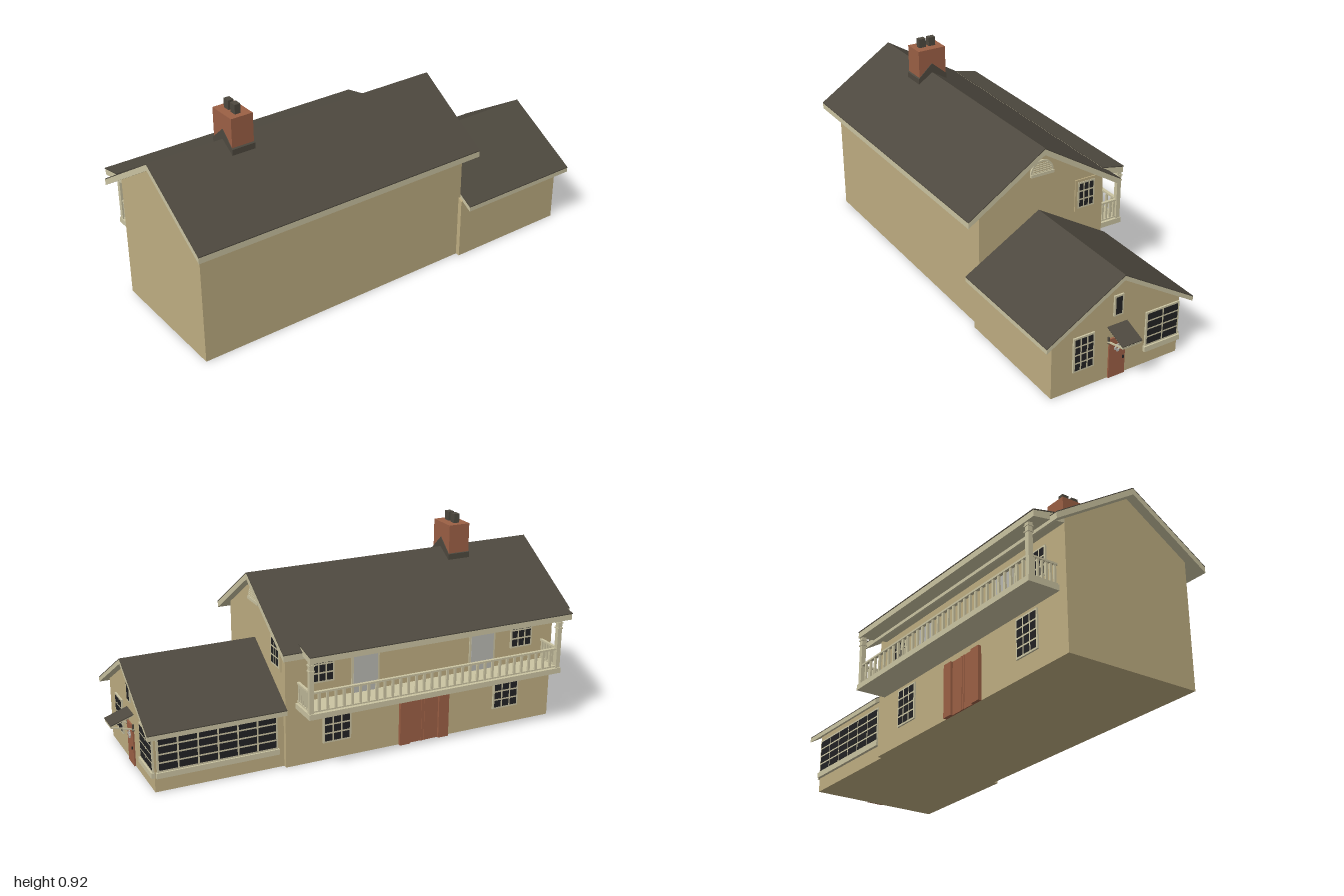
import * as THREE from 'three';

const mat = (name, color) => new THREE.MeshStandardMaterial({ name, color });

export function createModel() {
  const M = {
    wall: mat('wallTan', 0xbfae82),
    roof: mat('roofSlate', 0x4e493f),
    trim: mat('trimCream', 0xcbc4a2),
    brick: mat('brickRed', 0x9c6045),
    glass: mat('darkGlass', 0x222224),
    grey: mat('doorGrey', 0xb9b8b2),
  };
  const house = new THREE.Group();
  house.name = 'house';

  const add = (parent, name, geo, m) => {
    const mesh = new THREE.Mesh(geo, m);
    mesh.name = name;
    parent.add(mesh);
    return mesh;
  };
  const box = (parent, name, m, w, h, d, x, y, z) => {
    const b = add(parent, name, new THREE.BoxGeometry(w, h, d), m);
    b.position.set(x, y, z);
    return b;
  };
  // box given by its limits
  const span = (parent, name, m, x0, x1, y0, y1, z0, z1) =>
    box(parent, name, m, x1 - x0, y1 - y0, z1 - z0, (x0 + x1) / 2, (y0 + y1) / 2, (z0 + z1) / 2);
  // profile of [z, y] points drawn out along x
  const prism = (parent, name, m, pts, x0, x1) => {
    const s = new THREE.Shape(pts.map(p => new THREE.Vector2(p[0], p[1])));
    const g = new THREE.ExtrudeGeometry(s, { depth: x1 - x0, bevelEnabled: false });
    g.rotateY(-Math.PI / 2);
    g.translate(x1, 0, 0);
    return add(parent, name, g, m);
  };
  // group mounted on a wall, local +z pointing outwards
  const mount = (name, side, x, y, z) => {
    const g = new THREE.Group();
    g.name = name;
    g.position.set(x, y, z);
    g.rotation.y = side === 'back' ? Math.PI : Math.PI / 2;
    house.add(g);
    return g;
  };

  // gabled roof: cream slab with a thin dark covering
  const gableRoof = (name, front, ridge, back, t, x0, x1) => {
    const line = d => [front, ridge, back].map(p => [p[0], p[1] + d]);
    const band = (a, b) => [...line(a), ...line(b).reverse()];
    prism(house, name + 'Eaves', M.trim, band(-t, -0.004), x0, x1);
    prism(house, name + 'Covering', M.roof, band(-0.004, 0), x0, x1);
  };

  // main block and side wing
  prism(house, 'mainWalls', M.wall,
    [[0.34, 0], [0.34, 0.553], [0.05, 0.742], [-0.265, 0.546], [-0.265, 0]], -0.96, 0.34);
  gableRoof('mainRoof', [0.408, 0.535], [0.05, 0.767], [-0.333, 0.53], 0.03, -1, 0.375);
  prism(house, 'wingWalls', M.wall,
    [[0.36, 0], [0.36, 0.275], [0.055, 0.455], [-0.245, 0.275], [-0.245, 0]], 0.33, 0.9);
  gableRoof('wingRoof', [0.405, 0.268], [0.055, 0.475], [-0.285, 0.268], 0.024, 0.34, 0.935);

  // chimney with saddle flashing and two pots
  span(house, 'chimney', M.brick, -0.66, -0.56, 0.68, 0.877, -0.02, 0.115);
  prism(house, 'chimneyFlashing', M.roof,
    [[0.12, 0.7], [0.12, 0.747], [0.05, 0.81], [-0.023, 0.747], [-0.023, 0.7]], -0.663, -0.557);
  for (const z of [0.073, 0.025]) box(house, 'chimneyPot', M.roof, 0.026, 0.045, 0.033, -0.612, 0.895, z);

  // grid window
  const paneWindow = (name, side, x, y, z, w, h, cols, rows, o = {}) => {
    const g = mount(name, side, x, y, z);
    if (o.casing) box(g, 'casing', o.casing, w + 0.024, h + 0.024, 0.006, 0, 0, 0.002);
    box(g, 'muntins', M.trim, w, h, 0.008, 0, 0, 0.003);
    const gap = 0.008, cw = (w - gap) / cols, ch = (h - gap) / rows;
    for (let i = 0; i < cols; i++) for (let j = 0; j < rows; j++)
      box(g, 'pane', M.glass, cw - gap, ch - gap, 0.004,
        (i + 0.5) * cw - (w - gap) / 2, (j + 0.5) * ch - (h - gap) / 2, 0.0065);
    if (o.sill) box(g, 'sill', M.trim, w + 0.01, 0.024, 0.016, 0, -h / 2 - 0.012, 0.006);
    return g;
  };

  // end wall windows
  paneWindow('wingEndWindow', 'end', 0.9, 0.165, 0.215, 0.098, 0.156, 3, 4);
  paneWindow('wingCornerWindow', 'end', 0.9, 0.165, -0.161, 0.163, 0.156, 2, 4, { sill: true });
  paneWindow('wingGableWindow', 'end', 0.9, 0.326, 0.057, 0.044, 0.092, 1, 1);
  paneWindow('mainEndWindow', 'end', 0.34, 0.488, -0.177, 0.084, 0.122, 3, 3, { casing: M.wall });

  // arched louvre vent
  const vent = mount('gableVent', 'end', 0.34, 0.648, 0.045);
  const half = r => new THREE.CircleGeometry(r, 24, 0, Math.PI);
  add(vent, 'ventFrame', new THREE.ExtrudeGeometry(
    new THREE.Shape().absarc(0, 0, 0.055, 0, Math.PI), { depth: 0.008, bevelEnabled: false }), M.trim);
  add(vent, 'ventPanel', half(0.047), M.wall).position.z = 0.0085;
  for (let i = 0; i < 5; i++) {
    const y = 0.004 + i * 0.009;
    box(vent, 'louvre', M.trim, 2 * Math.sqrt(0.048 ** 2 - y * y), 0.0045, 0.005, 0, y, 0.009);
  }
  box(vent, 'ventSill', M.trim, 0.11, 0.013, 0.014, 0, -0.006, 0.006);

  // end door with wreath, knob and canopy
  const door = mount('endDoor', 'end', 0.9, 0, 0.057);
  box(door, 'doorLeaf', M.brick, 0.077, 0.182, 0.008, 0, 0.091, 0.003);
  const wreath = add(door, 'wreath', new THREE.TorusGeometry(0.01, 0.004, 6, 10), M.grey);
  wreath.position.set(0, 0.133, 0.009);
  for (let i = 0; i < 4; i++) {
    const a = i * Math.PI / 2;
    box(door, 'wreathSprig', M.grey, 0.009, 0.009, 0.005, Math.cos(a) * 0.012, 0.133 + Math.sin(a) * 0.012, 0.01);
  }
  box(door, 'doorKnob', M.glass, 0.006, 0.012, 0.006, 0.028, 0.08, 0.009);
  const beam = (name, m, w, t, a, b, x) => {
    const dy = b[1] - a[1], dz = b[0] - a[0];
    const s = box(door, name, m, w, t, Math.hypot(dy, dz), x, (a[1] + b[1]) / 2, (a[0] + b[0]) / 2);
    s.rotation.x = -Math.atan2(dy, dz);
  };
  beam('canopyRoof', M.roof, 0.094, 0.004, [0, 0.238], [0.1, 0.203], 0);
  beam('canopyUnderside', M.trim, 0.088, 0.005, [0, 0.233], [0.099, 0.198], 0);
  box(door, 'canopyFascia', M.trim, 0.09, 0.01, 0.004, 0, 0.196, 0.096);
  for (const x of [-0.04, 0.04]) {
    beam('canopyBracket', M.trim, 0.006, 0.006, [0, 0.168], [0.096, 0.194], x);
    box(door, 'bracketFoot', M.roof, 0.006, 0.03, 0.008, x, 0.176, 0.004);
  }

  // ribbon window along the back of the wing
  paneWindow('wingRibbonWindow', 'back', 0.63, 0.165, -0.245, 0.52, 0.156, 6, 4, { sill: true });

  // back wall openings, mirrored about the middle of the main block
  const mid = -0.31, bz = -0.265;
  for (const s of [-1, 1]) {
    paneWindow('lowerWindow', 'back', mid + s * 0.417, 0.162, bz, 0.13, 0.165, 3, 4);
    paneWindow('upperWindow', 'back', mid + s * 0.485, 0.42, bz, 0.11, 0.125, 3, 3);
    const d = mount('balconyDoor', 'back', mid + s * 0.285, 0.385, bz);
    box(d, 'doorFrame', M.trim, 0.13, 0.21, 0.006, 0, 0, 0.002);
    box(d, 'doorLeaf', M.grey, 0.112, 0.2, 0.008, 0, -0.005, 0.003);
  }
  const garden = mount('gardenDoor', 'back', mid, 0, bz);
  box(garden, 'doorLeaf', M.brick, 0.14, 0.23, 0.006, 0, 0.115, 0.002);
  for (const s of [-1, 1]) {
    box(garden, 'shutter', M.brick, 0.05, 0.23, 0.016, s * 0.095, 0.115, 0.007);
    box(garden, 'doorStile', M.brick, 0.01, 0.23, 0.009, s * 0.007, 0.115, 0.003);
  }

  // balcony floor, lean-to roof and posts
  const bx0 = -0.92, bx1 = 0.295;
  span(house, 'balconyFloor', M.trim, bx0, bx1, 0.26, 0.284, -0.405, -0.26);
  prism(house, 'balconyRoofEaves', M.trim,
    [[-0.26, 0.525], [-0.26, 0.555], [-0.3, 0.551], [-0.408, 0.529], [-0.408, 0.503]], -0.96, 0.292);
  prism(house, 'balconyRoofCovering', M.roof,
    [[-0.3, 0.551], [-0.3, 0.555], [-0.41, 0.533], [-0.41, 0.529]], -0.962, 0.294);
  const rz = -0.39;
  for (const x of [bx0 + 0.013, bx1 - 0.013]) {
    box(house, 'balconyPost', M.trim, 0.02, 0.235, 0.02, x, 0.398, rz);
    for (const y of [0.468, 0.492]) box(house, 'postCollar', M.trim, 0.026, 0.006, 0.026, x, y, rz);
    // end railings
    box(house, 'endHandrail', M.trim, 0.012, 0.008, 0.125, x, 0.372, -0.327);
    box(house, 'endBottomRail', M.trim, 0.01, 0.006, 0.125, x, 0.29, -0.327);
    for (let i = 0; i < 6; i++) box(house, 'endBaluster', M.trim, 0.008, 0.085, 0.009, x, 0.329, -0.275 - i * 0.0195);
  }
  // long railing
  span(house, 'handrail', M.trim, bx0 + 0.013, bx1 - 0.013, 0.368, 0.376, rz - 0.007, rz + 0.007);
  span(house, 'bottomRail', M.trim, bx0 + 0.013, bx1 - 0.013, 0.287, 0.293, rz - 0.005, rz + 0.005);
  const n = 32, x0 = bx0 + 0.013, step = (bx1 - bx0 - 0.026) / n;
  for (let i = 1; i < n; i++) box(house, 'baluster', M.trim, 0.01, 0.085, 0.009, x0 + i * step, 0.329, rz);

  return house;
}
